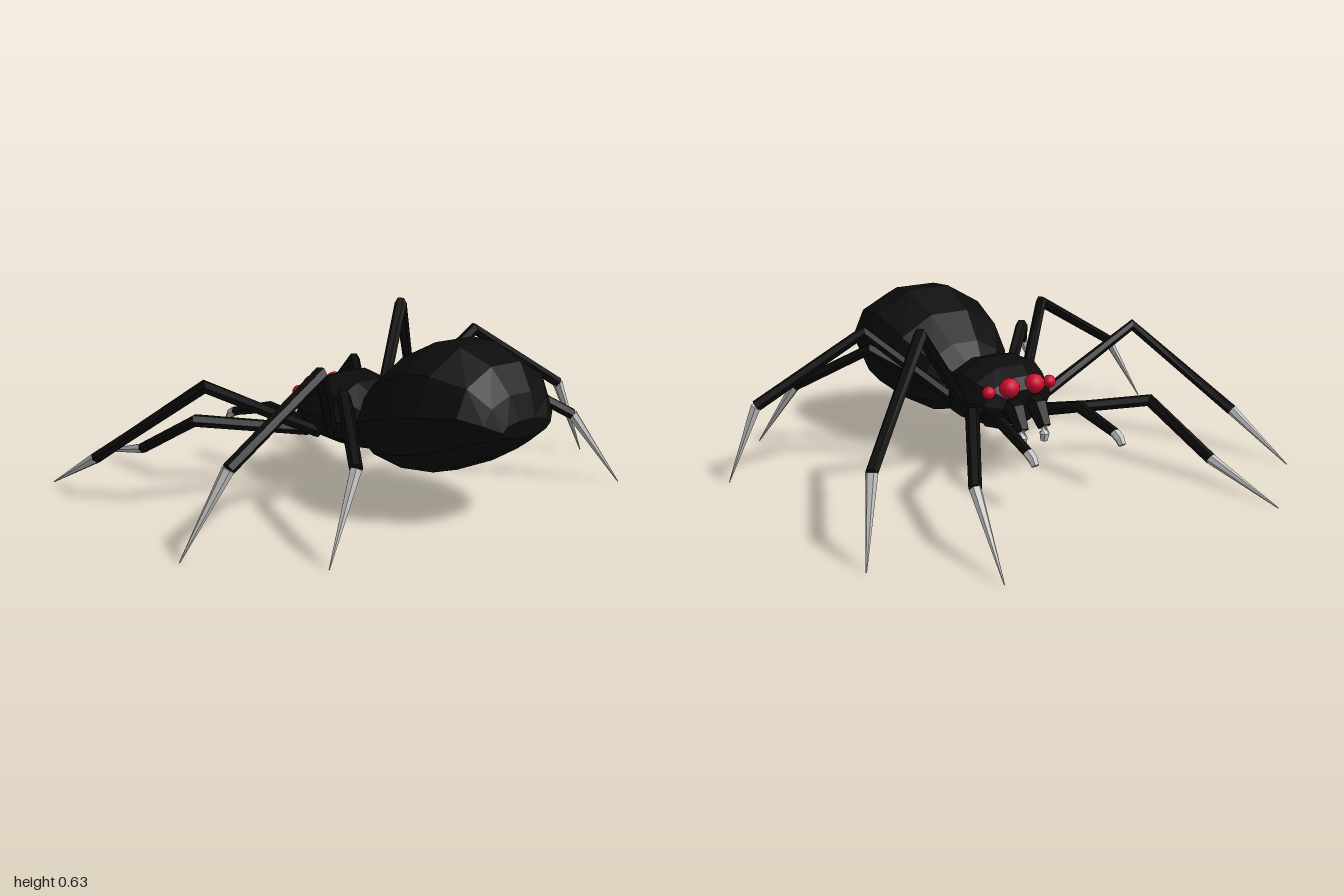
import * as THREE from 'three';

const mat = (name, color) => {
  const m = new THREE.MeshStandardMaterial({ color });
  m.name = name;
  return m;
};

// Flat-faced, capped skin over a row of equal-sized rings
function skin(rings) {
  const pos = [];
  const tri = (...p) => p.forEach(v => pos.push(v.x, v.y, v.z));
  const n = rings[0].length;
  const middle = r => r.reduce((s, p) => s.add(p), new THREE.Vector3()).divideScalar(n);
  const first = rings[0], last = rings[rings.length - 1];
  const c0 = middle(first), c1 = middle(last);
  for (let j = 0; j < n; j++) {
    const k = (j + 1) % n;
    for (let i = 0; i < rings.length - 1; i++) {
      const a = rings[i], b = rings[i + 1];
      tri(a[j], a[k], b[k]);
      tri(a[j], b[k], b[j]);
    }
    tri(c0, first[k], first[j]);
    tri(c1, last[j], last[k]);
  }
  const g = new THREE.BufferGeometry();
  g.setAttribute('position', new THREE.Float32BufferAttribute(pos, 3));
  g.computeVertexNormals();
  return g;
}

// Body along x from sections [x, bottom, top, halfWidth, zCentre]
function body(sections, sides) {
  return skin(sections.map(([x, lo, hi, w, zc]) =>
    Array.from({ length: sides }, (_, j) => {
      const a = ((j + 0.5) / sides) * Math.PI * 2;
      const s = 1 / Math.cos(Math.PI / sides);
      return new THREE.Vector3(x, (lo + hi) / 2 + Math.cos(a) * s * (hi - lo) / 2, zc + Math.sin(a) * w);
    })));
}

// Six-sided limb through points, one radius per point
function limb(points, radii, sides = 6) {
  const p = points.map(q => new THREE.Vector3(...q));
  return skin(p.map((c, i) => {
    const t = new THREE.Vector3();
    if (i > 0) t.add(c.clone().sub(p[i - 1]).normalize());
    if (i < p.length - 1) t.add(p[i + 1].clone().sub(c).normalize());
    t.normalize();
    const u = new THREE.Vector3().crossVectors(t, new THREE.Vector3(0, 1, 0)).normalize();
    const v = new THREE.Vector3().crossVectors(t, u);
    return Array.from({ length: sides }, (_, j) => {
      const a = (j / sides) * Math.PI * 2;
      return c.clone().addScaledVector(u, Math.cos(a) * radii[i]).addScaledVector(v, Math.sin(a) * radii[i]);
    });
  }));
}

export function createModel() {
  const group = new THREE.Group();
  group.name = 'spider';
  const black = mat('black', 0x0b0b0b);
  const red = mat('red', 0xd00a30);
  const grey = mat('claw grey', 0xc4c4c4);
  const add = (name, geometry, material) => {
    const m = new THREE.Mesh(geometry, material);
    m.name = name;
    group.add(m);
    return m;
  };

  // Abdomen, tilted and blunt at the rear
  add('abdomen', body([
    [0.24, 0.20, 0.34, 0.09, 0],
    [0.30, 0.16, 0.43, 0.19, -0.02],
    [0.42, 0.13, 0.53, 0.27, -0.02],
    [0.58, 0.15, 0.605, 0.295, -0.025],
    [0.68, 0.18, 0.60, 0.285, -0.035],
    [0.80, 0.25, 0.55, 0.23, -0.04],
    [0.86, 0.29, 0.46, 0.17, -0.045],
    [0.89, 0.32, 0.38, 0.12, -0.05],
  ], 10), black);

  // Thorax with the head at its front
  add('thorax', body([
    [-0.10, 0.21, 0.33, 0.09, 0],
    [-0.06, 0.19, 0.37, 0.15, 0],
    [0.00, 0.17, 0.40, 0.185, 0],
    [0.08, 0.155, 0.425, 0.21, 0],
    [0.18, 0.155, 0.40, 0.19, 0],
    [0.25, 0.16, 0.36, 0.145, 0],
    [0.30, 0.18, 0.33, 0.10, 0],
  ], 10), black);

  // Eyes
  for (const [x, y, z, r] of [
    [-0.09, 0.345, -0.058, 0.04], [-0.09, 0.345, 0.055, 0.04],
    [-0.07, 0.335, -0.137, 0.026], [-0.07, 0.335, 0.137, 0.026],
  ]) add('eye', new THREE.IcosahedronGeometry(r, 1), red).position.set(x, y, z);

  // Jaws, fangs and feelers on both sides
  for (const s of [-1, 1]) {
    const z = s * 0.05;
    add('jaw', limb([[-0.04, 0.28, z], [-0.12, 0.26, z], [-0.165, 0.195, z]], [0.045, 0.042, 0.028]), black);
    add('fang', limb([[-0.165, 0.21, z], [-0.166, 0.17, z], [-0.163, 0.14, z]], [0.021, 0.021, 0.015]), grey);
    const o = s > 0 ? 0.02 : 0;
    add('feeler', limb([[-0.05, 0.22, s * 0.13], [-0.2, 0.26, s * 0.165 + o], [-0.40, 0.21, s * 0.182 + o]],
      [0.025, 0.024, 0.019]), black);
    add('feelerClaw', limb([[-0.40, 0.21, s * 0.182 + o], [-0.43, 0.195, s * 0.182 + o], [-0.445, 0.175, s * 0.182 + o]],
      [0.02, 0.019, 0.015]), grey);
  }

  // Legs: root, knee, claw base, claw tip
  const legs = {
    rightFrontLeg: [[-0.02, 0.25, -0.15], [-0.32, 0.365, -0.36], [-0.60, 0.22, -0.52], [-0.86, 0.01, -0.577]],
    rightSecondLeg: [[0.06, 0.25, -0.16], [-0.135, 0.615, -0.455], [-0.455, 0.29, -0.81], [-0.55, 0.005, -0.887]],
    rightThirdLeg: [[0.13, 0.25, -0.16], [0.245, 0.55, -0.49], [0.352, 0.30, -0.885], [0.404, 0.005, -0.99]],
    rightRearLeg: [[0.22, 0.25, -0.12], [0.42, 0.43, -0.38], [0.64, 0.26, -0.615], [0.78, 0.005, -0.73]],
    leftFrontLeg: [[-0.01, 0.20, 0.14], [-0.25, 0.245, 0.49], [-0.55, 0.085, 0.545], [-0.89, 0.005, 0.556]],
    leftSecondLeg: [[0.07, 0.21, 0.16], [0.083, 0.455, 0.665], [-0.32, 0.155, 0.87], [-0.605, 0.005, 0.9]],
    leftThirdLeg: [[0.14, 0.22, 0.15], [0.42, 0.52, 0.435], [0.468, 0.285, 0.84], [0.414, 0.005, 0.99]],
    leftRearLeg: [[0.22, 0.23, 0.12], [0.42, 0.43, 0.335], [0.706, 0.28, 0.53], [0.755, 0.005, 0.68]],
  };
  for (const [name, [root, knee, base, tip]] of Object.entries(legs)) {
    add(name, limb([root, knee, base], [0.023, 0.025, 0.022]), black);
    add(name + 'Claw', limb([base, tip], [0.021, 0.002]), grey);
  }
  return group;
}
